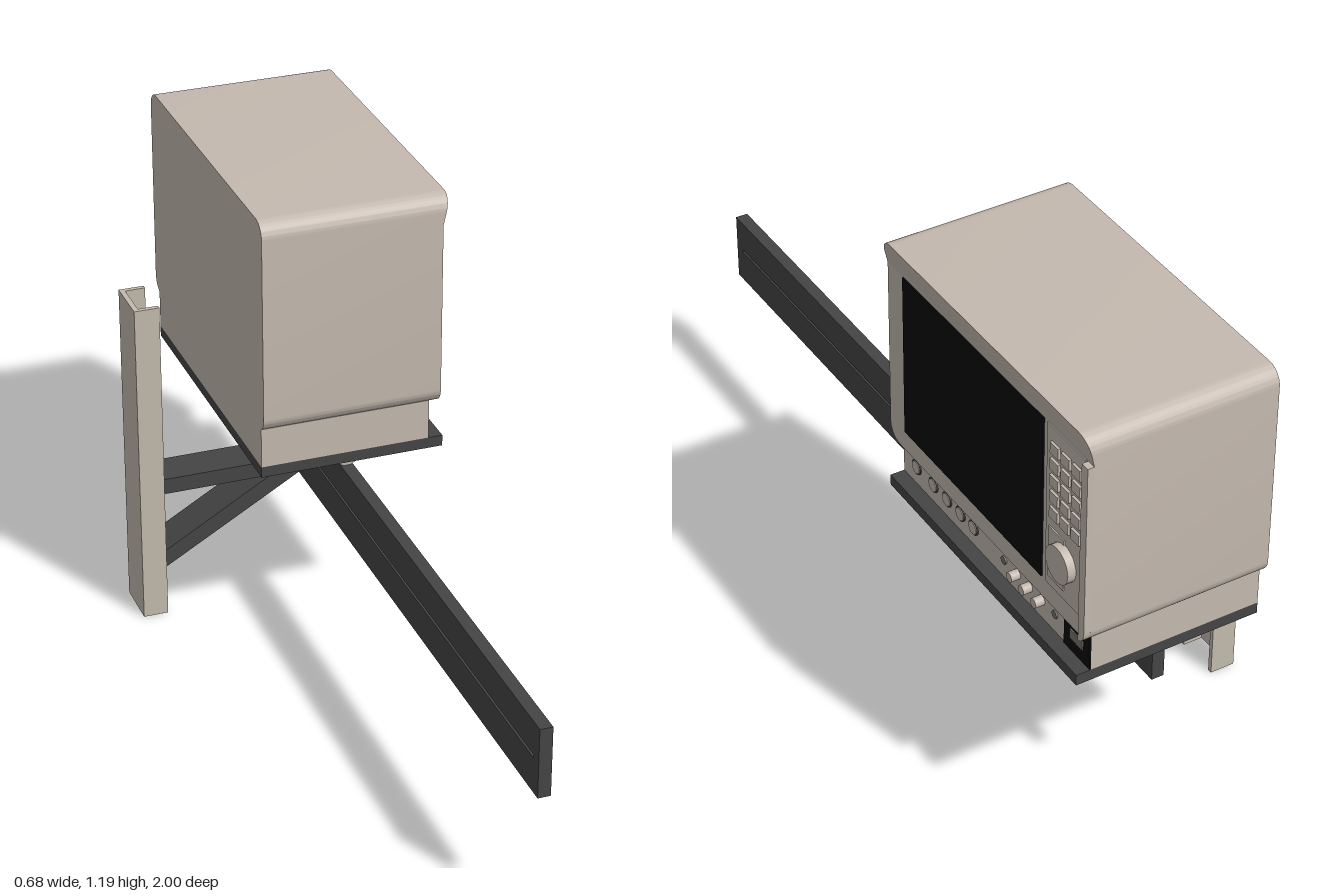
import * as THREE from 'three';
import { toCreasedNormals } from 'three/addons/utils/BufferGeometryUtils.js';

export function createModel() {
  const model = new THREE.Group();
  const mat = (name, color) => {
    const m = new THREE.MeshStandardMaterial({ color });
    m.name = name;
    return m;
  };
  const beige = mat('warm beige', 0xc4b9af);
  const postBeige = mat('post beige', 0xc2baad);
  const steel = mat('dark steel', 0x454546);
  const black = mat('black', 0x0b0b0b);
  const grey = mat('mid grey', 0x77736e);

  const add = (name, geo, material, parent = model) => {
    const mesh = new THREE.Mesh(geo, material);
    mesh.name = name;
    parent.add(mesh);
    return mesh;
  };
  const group = (name) => {
    const g = new THREE.Group();
    g.name = name;
    model.add(g);
    return g;
  };
  // Box given by its limits on each axis
  const box = (name, [x0, x1], [y0, y1], [z0, z1], material, parent) => {
    const geo = new THREE.BoxGeometry(x1 - x0, y1 - y0, z1 - z0);
    geo.translate((x0 + x1) / 2, (y0 + y1) / 2, (z0 + z1) / 2);
    return add(name, geo, material, parent);
  };
  // Side profile (u = -z, v = y) extruded along x
  const extrudeX = (shape, x0, x1) => {
    const geo = new THREE.ExtrudeGeometry(shape, { depth: x1 - x0, bevelEnabled: false, curveSegments: 8 });
    return geo.rotateY(Math.PI / 2).translate(x0, 0, 0);
  };
  // Round control facing +x
  const knob = (name, x0, x1, y, z, r, material, parent) => {
    const geo = new THREE.CylinderGeometry(r, r, x1 - x0, 24);
    geo.rotateZ(-Math.PI / 2).translate((x0 + x1) / 2, y, z);
    return add(name, geo, material, parent);
  };

  // Monitor housing with rounded long edges
  const monitor = group('monitor');
  const U0 = 0.16, U1 = 1.0, Y0 = 0.645, Y1 = 1.19, R = 0.04;
  const face = 0.318, rim = 0.334, lip = 1.12;
  const outline = new THREE.Shape();
  outline.moveTo(U0 + R, Y0);
  outline.lineTo(U1 - R, Y0);
  outline.absarc(U1 - R, Y0 + R, R, -Math.PI / 2, 0);
  outline.absarc(U1 - R, Y1 - R, R, 0, Math.PI / 2);
  outline.absarc(U0 + R, Y1 - R, R, Math.PI / 2, Math.PI);
  outline.absarc(U0 + R, Y0 + R, R, Math.PI, Math.PI * 1.5);
  add('housing', toCreasedNormals(extrudeX(outline, -0.13, face), 0.6), beige, monitor);

  // Hood above the screen, sloping back to the face
  const hood = new THREE.Shape();
  hood.moveTo(U0, lip);
  hood.lineTo(U1, lip);
  hood.absarc(U1 - R, Y1 - R, R, 0, Math.PI / 2);
  hood.absarc(U0 + R, Y1 - R, R, Math.PI / 2, Math.PI);
  const hoodGeo = extrudeX(hood, face, rim);
  const p = hoodGeo.attributes.position;
  for (let i = 0; i < p.count; i++) {
    if (p.getX(i) > face + 0.001) {
      const t = (p.getY(i) - lip) / (Y1 - lip);
      p.setX(i, face + 0.0005 + (rim - face - 0.0005) * t);
    }
  }
  hoodGeo.computeVertexNormals();
  add('hood', toCreasedNormals(hoodGeo, 0.6), beige, monitor);

  // Rim on the far side of the control panel
  const edge = new THREE.Shape();
  edge.moveTo(0.977, Y0 + 0.005);
  edge.quadraticCurveTo(U1, Y0 + 0.015, U1, Y0 + R);
  edge.lineTo(U1, lip);
  edge.lineTo(0.977, lip);
  add('sideRim', extrudeX(edge, face, rim), beige, monitor);

  // Screen and control panel
  box('screen', [face, face + 0.004], [0.7, 1.12], [-0.81, -0.23], black, monitor);
  box('controlPanel', [face, face + 0.003], [0.7, 1.12], [-0.972, -0.825], beige, monitor);
  for (let row = 0; row < 5; row++) {
    for (let col = 0; col < 3; col++) {
      const z = -0.845 - col * 0.042, y = 1.085 - row * 0.042;
      box('panelButton', [face, face + 0.009], [y - 0.028, y], [z - 0.032, z], beige, monitor);
    }
  }
  box('panelSlot', [face, face + 0.006], [0.725, 0.86], [-0.9, -0.84], beige, monitor);
  knob('dial', face, 0.341, 0.803, -0.9, 0.045, beige, monitor);

  // Control base under the monitor
  const base = group('controlBase');
  const front = 0.296;
  box('baseBody', [-0.13, front], [0.548, 0.65], [-0.972, -0.18], beige, base);
  box('blackPlate', [front, front + 0.004], [0.55, 0.644], [-0.972, -0.87], black, base);
  box('plateSocket', [front, front + 0.007], [0.585, 0.61], [-0.947, -0.897], grey, base);
  for (const z of [-0.24, -0.315, -0.375, -0.434, -0.49]) {
    knob('socketRing', front, front + 0.003, 0.597, z, 0.019, steel, base);
    knob('socketFace', front, front + 0.005, 0.597, z, 0.016, beige, base);
  }
  for (const z of [-0.62, -0.83]) knob('smallSocket', front, front + 0.004, 0.597, z, 0.01, grey, base);
  for (const z of [-0.675, -0.725, -0.775]) knob('smallKnob', front, 0.319, 0.597, z, 0.012, beige, base);

  // Shelf and the half-round runner beneath it
  box('shelf', [-0.13, 0.332], [0.52, 0.548], [-0.972, -0.18], steel);
  const runner = new THREE.Shape();
  runner.absarc(0, 0, 0.03, Math.PI, Math.PI * 2);
  const runnerGeo = new THREE.ExtrudeGeometry(runner, { depth: 0.72, bevelEnabled: false, curveSegments: 10 });
  add('runner', toCreasedNormals(runnerGeo.translate(0.1, 0.521, -0.935), 0.6), postBeige);

  // Long double rail
  const rail = group('rail');
  const railX = [0.084, 0.115];
  box('upperRail', railX, [0.41, 0.492], [-0.937, 1], steel, rail);
  box('lowerRail', railX, [0.315, 0.402], [-0.567, 1], steel, rail);
  box('railEndJoint', railX, [0.4, 0.412], [0.97, 1], steel, rail);
  box('railInnerJoint', railX, [0.4, 0.412], [-0.567, -0.5], steel, rail);

  // Bracket: horizontal arm and diagonal brace
  const bracket = group('bracket');
  box('arm', [-0.33, 0.1], [0.335, 0.376], [-0.598, -0.495], steel, bracket);
  const brace = new THREE.Shape();
  brace.moveTo(-0.33, 0.096);
  brace.lineTo(0.084, 0.335);
  brace.lineTo(0.0, 0.335);
  brace.lineTo(-0.33, 0.143);
  const braceGeo = new THREE.ExtrudeGeometry(brace, { depth: 0.103, bevelEnabled: false });
  add('brace', braceGeo.translate(0, 0, -0.598), steel, bracket);

  // Upright channel post, open towards the arm
  const post = new THREE.Shape();
  const corners = [[-0.343, 0.483], [-0.28, 0.483], [-0.28, 0.495], [-0.33, 0.495],
    [-0.33, 0.598], [-0.28, 0.598], [-0.28, 0.61], [-0.343, 0.61]];
  post.setFromPoints(corners.map(([x, v]) => new THREE.Vector2(x, v)));
  const postGeo = new THREE.ExtrudeGeometry(post, { depth: 0.855, bevelEnabled: false });
  add('post', postGeo.rotateX(-Math.PI / 2), postBeige);

  return model;
}
